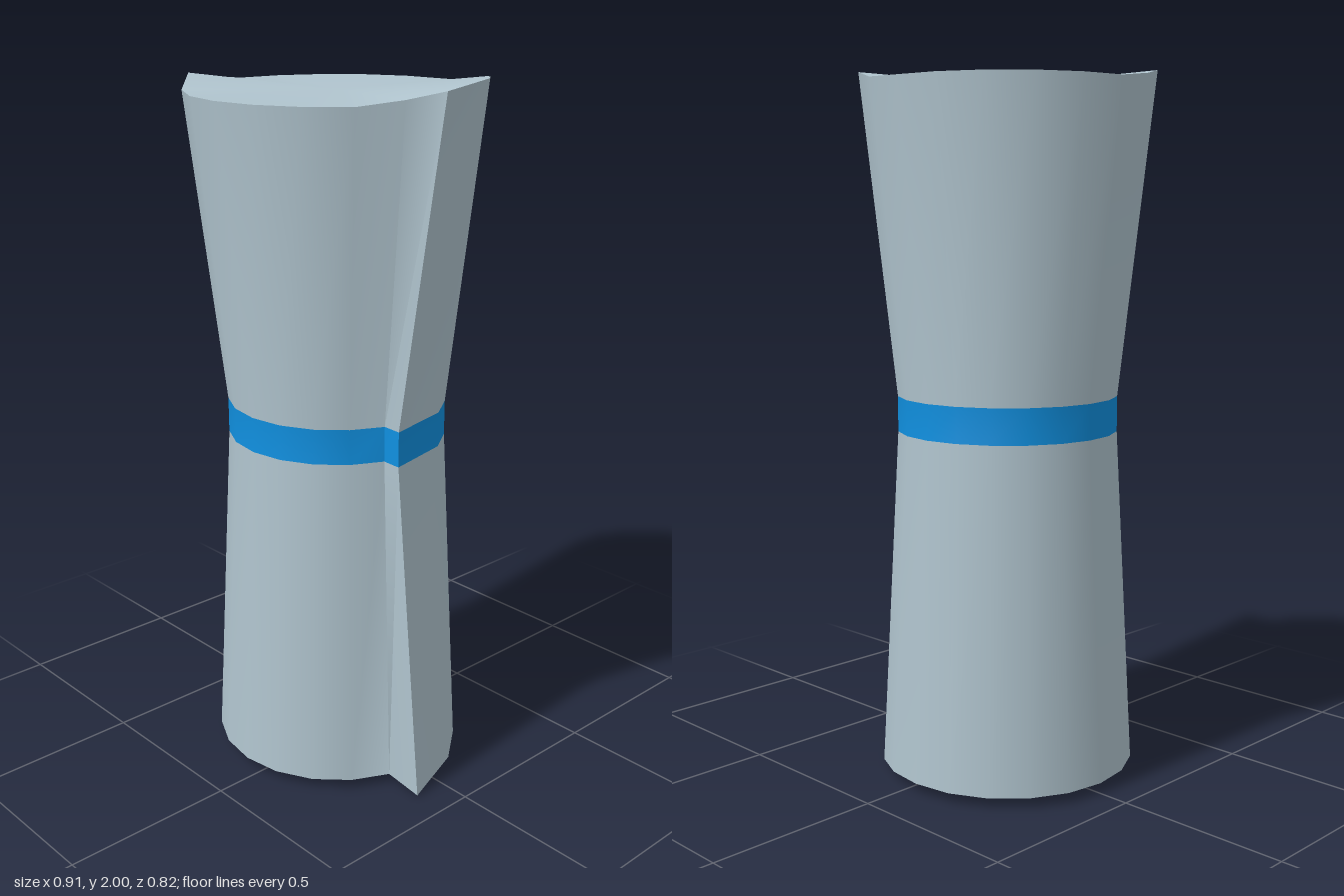
import * as THREE from 'three';
import { toCreasedNormals } from 'three/addons/utils/BufferGeometryUtils.js';

const SIDES = 20;
const CENTER_X = -0.045;

// Rings from bottom to top: regular polygon, a loose flap corner [x, y, z],
// a slight bulge on the side behind it, and height offsets by corner index.
const RINGS = [
  { y: 0.03, r: 0.364, flap: [0.405, 0.003, 0.1], bulge: 0.025, lift: { 1: -0.03, 2: -0.018, 3: -0.008, 4: -0.003 } },
  { y: 0.99, r: 0.313, flap: [0.31, 0.99, 0.1], bulge: 0.015, lift: {} },
  { y: 1.09, r: 0.313, flap: [0.31, 1.09, 0.1], bulge: 0.015, lift: {} },
  { y: 1.95, r: 0.412, flap: [0.455, 1.99, 0.095], bulge: 0.04,
    lift: { 1: 0.05, 2: 0.04, 3: 0.029, 4: 0.005, 11: 0.015, 12: 0.035, 13: 0.003, 19: 0.013 } },
];

function ringPoints({ y, r, flap, bulge, lift }) {
  const points = [];
  for (let i = 0; i < SIDES; i++) {
    const a = (i / SIDES) * Math.PI * 2;
    points.push(i === 0 ? flap : [
      CENTER_X + r * Math.cos(a) + (i === 1 ? bulge : 0),
      y + (lift[i] ?? 0),
      -r * Math.sin(a),
    ]);
  }
  return points;
}

function creased(triangles) {
  const geometry = new THREE.BufferGeometry();
  geometry.setAttribute('position', new THREE.Float32BufferAttribute(triangles.flat(), 3));
  return geometry;
}

export function createModel() {
  const wrap = new THREE.MeshStandardMaterial({ name: 'pale blue grey', color: 0xb0c4ce });
  const blue = new THREE.MeshStandardMaterial({ name: 'bright blue', color: 0x1090e0 });

  const rings = RINGS.map(ringPoints);
  const triangles = [];
  const groups = [];

  // Walls between rings; the middle one is the blue band
  for (let k = 0; k < 3; k++) {
    const start = triangles.length;
    for (let i = 0; i < SIDES; i++) {
      const j = (i + 1) % SIDES;
      const [a, b, c, d] = [rings[k][i], rings[k][j], rings[k + 1][j], rings[k + 1][i]];
      triangles.push(a, b, c, a, c, d);
    }
    groups.push([start, triangles.length - start, k === 1 ? 1 : 0]);
  }

  // End caps fanned from their centres
  const capStart = triangles.length;
  for (let i = 0; i < SIDES; i++) {
    const j = (i + 1) % SIDES;
    triangles.push([CENTER_X, 1.95, 0], rings[3][i], rings[3][j]);
    triangles.push([CENTER_X, 0.03, 0], rings[0][j], rings[0][i]);
  }
  groups.push([capStart, triangles.length - capStart, 0]);

  // Smooth walls with a sharp flap edge and sharp rims
  const geometry = toCreasedNormals(creased(triangles), THREE.MathUtils.degToRad(62));
  groups.forEach(([start, count, material]) => geometry.addGroup(start, count, material));

  const roll = new THREE.Mesh(geometry, [wrap, blue]);
  roll.name = 'bandedRoll';

  const model = new THREE.Group();
  model.name = 'tiedRoll';
  model.add(roll);
  return model;
}
